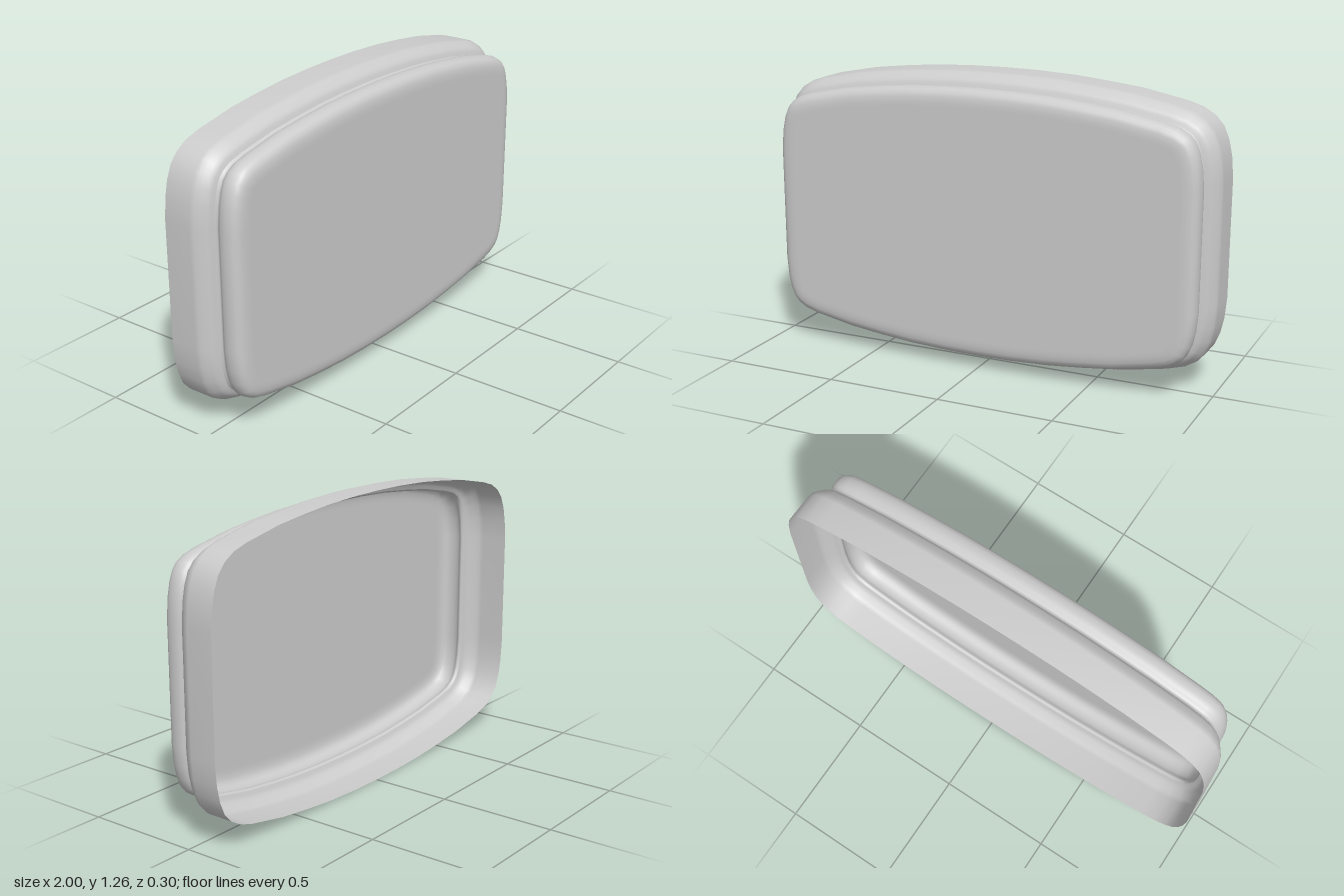
import * as THREE from 'three';

const CENTER_Y = 0.628;

// One quarter of the barrel-shaped outline, top middle to right middle
const QUARTER = [
  [0, 0.628], [0.15, 0.626], [0.32, 0.618], [0.47, 0.604], [0.62, 0.586], [0.8, 0.551],
  [0.87, 0.53], [0.92, 0.5], [0.955, 0.46], [0.978, 0.405], [0.992, 0.34], [1, 0.25], [1, 0],
];

// Full outline, clockwise seen from the front, with outward normals
function makeOutline() {
  const half = [...QUARTER, ...QUARTER.slice(0, -1).reverse().map(([x, y]) => [x, -y])];
  const pts = [...half, ...half.slice(1, -1).reverse().map(([x, y]) => [-x, y])]
    .map(([x, y]) => new THREE.Vector2(x, y));
  const n = pts.length;
  return pts.map((p, i) => {
    const a = p.clone().sub(pts[(i + n - 1) % n]).normalize();
    const t = pts[(i + 1) % n].clone().sub(p).normalize().add(a).normalize();
    return { p, normal: new THREE.Vector2(-t.y, t.x) };
  });
}

// Skins rings of the outline; each profile entry is [z, inset]
function makeShell(outline, profile, capped) {
  const n = outline.length, pos = [], index = [];
  for (const [z, inset] of profile) {
    for (const { p, normal } of outline) {
      pos.push(p.x - normal.x * inset, p.y - normal.y * inset + CENTER_Y, z);
    }
  }
  for (let r = 0; r < profile.length - 1; r++) {
    for (let i = 0; i < n; i++) {
      const a = r * n + i, b = r * n + (i + 1) % n;
      index.push(a, a + n, b, b, a + n, b + n);
    }
  }
  if (capped) {
    const c = pos.length / 3, last = (profile.length - 1) * n;
    pos.push(0, CENTER_Y, profile[profile.length - 1][0]);
    for (let i = 0; i < n; i++) index.push(last + i, c, last + (i + 1) % n);
  }
  const g = new THREE.BufferGeometry();
  g.setAttribute('position', new THREE.Float32BufferAttribute(pos, 3));
  g.setIndex(index);
  g.computeVertexNormals();
  return g;
}

export function createModel() {
  const group = new THREE.Group();
  const shellGrey = new THREE.MeshStandardMaterial({ color: 0xcccccc, side: THREE.DoubleSide });
  shellGrey.name = 'shellGrey';
  const outline = makeOutline();
  // Outline normals must point outward so insets shrink the ring
  const add = (name, profile, capped) => {
    const mesh = new THREE.Mesh(makeShell(outline, profile, capped), shellGrey);
    mesh.name = name;
    group.add(mesh);
  };

  // Deep skirt, open at the back, rounding in to the groove
  add('skirt', [
    [-0.15, 0], [-0.03, 0.001], [-0.012, 0.006], [0.004, 0.016],
    [0.018, 0.026], [0.028, 0.034], [0.034, 0.045], [0.04, 0.06],
  ], false);

  // Groove, rounded bead and flat front panel
  add('frontPanel', [
    [0.04, 0.06], [0.048, 0.067], [0.056, 0.066], [0.064, 0.058], [0.076, 0.052],
    [0.095, 0.05], [0.115, 0.053], [0.13, 0.06], [0.141, 0.072], [0.147, 0.088],
    [0.15, 0.11], [0.15, 0.13],
  ], true);
  return group;
}
